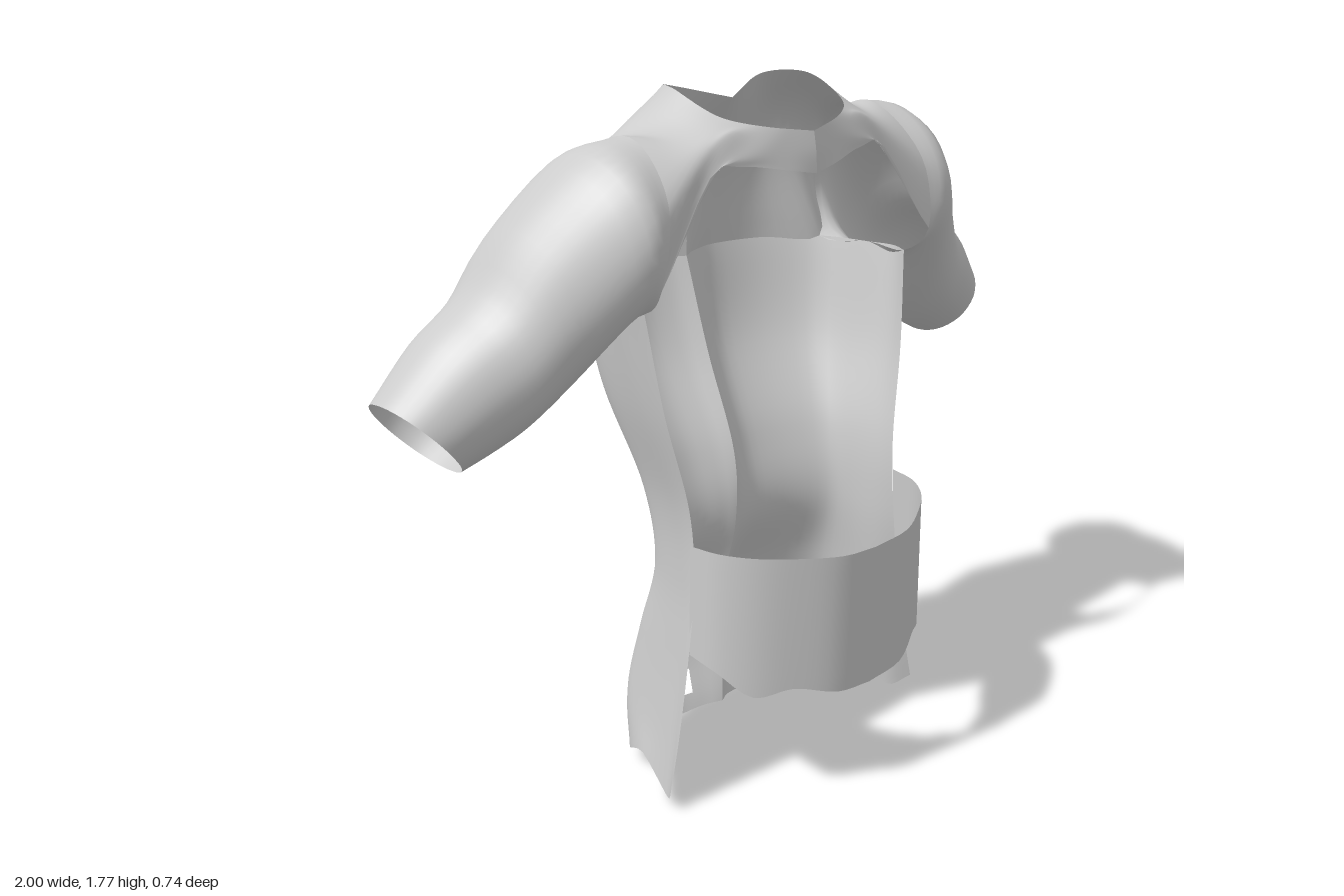
import * as THREE from 'three';

const material = new THREE.MeshStandardMaterial({ color: 0xcccccc, side: THREE.DoubleSide });

// Smooth a list of points, k samples per span
function smooth(points, k, closed = false) {
  const curve = new THREE.CatmullRomCurve3(points, closed, 'catmullrom', 0.5);
  const n = (closed ? points.length : points.length - 1) * k;
  return Array.from({ length: closed ? n : n + 1 }, (_, i) => curve.getPoint(i / n));
}

const vectors = points => points.map(p => new THREE.Vector3(...p));

// Smooth surface through rows of control points; side -1 mirrors it in x
function loft(rows, { side, ku = 4, kv = 4, closed = false, flip = false, hole = () => false }) {
  const across = rows.map(row => smooth(row, ku, closed));
  const nu = across[0].length;
  const columns = across[0].map((_, j) => smooth(across.map(r => r[j]), kv));
  const nv = columns[0].length;
  const pos = [], index = [];
  const reverse = flip !== (side < 0);
  for (let i = 0; i < nv; i++)
    for (let j = 0; j < nu; j++) {
      const p = columns[j][i];
      pos.push(p.x * side, p.y, p.z);
      if (i === nv - 1 || (!closed && j === nu - 1)) continue;
      const j2 = (j + 1) % nu;
      if (hole(p.clone().add(columns[j2][i + 1]).multiplyScalar(0.5))) continue;
      const a = i * nu + j, b = i * nu + j2, c = a + nu, d = b + nu;
      if (reverse) index.push(a, c, b, b, c, d);
      else index.push(a, b, c, b, d, c);
    }
  const g = new THREE.BufferGeometry();
  g.setAttribute('position', new THREE.Float32BufferAttribute(pos, 3));
  g.setIndex(index);
  g.computeVertexNormals();
  return g;
}

// One row of the back, from the spine groove round to the open front edge
function backRow(y, spine, back, w) {
  const frontZ = Math.min(0.1, 0.17 - 0.1 * y);
  return vectors([
    [0, y, spine], [0.12 * w, y, spine + (back - spine) * 0.6], [0.32 * w, y, back],
    [0.62 * w, y, back * 0.9], [0.88 * w, y, back * 0.64], [0.97 * w, y, back * 0.25],
    [w, y, frontZ - 0.06], [w + 0.05 * (0.8 - y), y, frontZ],
  ]);
}

// Ragged hem, then hips, waist and chest
const hemHeights = [0.03, 0.02, 0.005, 0.015, 0.05, 0.09, 0.015, 0.05];
const hem = backRow(0.02, -0.2, -0.255, 0.425);
hem.forEach((p, i) => { p.y = hemHeights[i]; });
const backRows = [
  hem,
  backRow(0.2, -0.2, -0.3, 0.4),
  backRow(0.4, -0.19, -0.245, 0.375),
  backRow(0.6, -0.14, -0.165, 0.36),
  backRow(0.8, -0.145, -0.21, 0.372),
  backRow(1.05, -0.24, -0.325, 0.435),
  backRow(1.3, -0.32, -0.375, 0.48),
];
const backTop = backRows[backRows.length - 1];

// Armhole, from the rear armpit over the shoulder to the front armpit
const armhole = [backTop[4], ...vectors([
  [0.455, 1.43, -0.29], [0.44, 1.58, -0.26], [0.42, 1.665, -0.15], [0.41, 1.69, -0.05],
  [0.42, 1.635, 0.05], [0.44, 1.53, 0.12], [0.465, 1.37, 0.115],
])];

// Shoulder yoke: bands from the back centre round to the front centre
const collar = vectors([[0, 1.73, -0.14], [0.16, 1.77, -0.2], [0.225, 1.775, -0.1],
  [0.21, 1.725, 0.03], [0.13, 1.7, 0.1], [0, 1.68, 0.14]]);
const yokeMiddle = vectors([[0, 1.54, -0.3], [0.25, 1.565, -0.31], [0.335, 1.69, -0.165],
  [0.305, 1.675, 0.045], [0.225, 1.645, 0.1], [0, 1.63, 0.148]]);
const yokeFront = vectors([[0.3, 1.6, 0.1], [0.2, 1.615, 0.11], [0.08, 1.595, 0.14], [0, 1.58, 0.15]]);
const yokeRows = [
  smooth(collar, 3), smooth(yokeMiddle, 3),
  [...backTop.slice(0, 4), ...armhole, ...yokeFront],
];

// Arm ring between a top and a bottom point, with front and back depth
function armRing(tx, ty, bx, by, front, back) {
  return Array.from({ length: 10 }, (_, i) => {
    const a = THREE.MathUtils.degToRad(225 + 36 * i);
    const c = Math.cos(a) / 2, s = Math.sin(a) / 2;
    return new THREE.Vector3((tx + bx) / 2 + c * (tx - bx), (ty + by) / 2 + c * (ty - by),
      (front + back) / 2 + s * (front - back));
  });
}
const armRows = [
  [...armhole, backTop[7], backTop[5]],
  armRing(0.53, 1.66, 0.5, 1.25, 0.14, -0.3),
  armRing(0.68, 1.5, 0.61, 1.11, 0.05, -0.35),
  armRing(0.77, 1.36, 0.7, 1.03, 0, -0.365),
  armRing(0.88, 1.27, 0.77, 0.985, -0.04, -0.37),
  armRing(1.0, 1.14, 0.84, 0.95, -0.09, -0.36),
];

// Belly band: quarter ellipse with a level top and a ragged lower edge
const bandHeights = [0.3, 0.315, 0.345, 0.33, 0.39, 0.42];
const bandRows = [0, 0.5, 1].map(t => bandHeights.map((low, i) => {
  const a = i * Math.PI / 10;
  const top = 0.68 + 0.03 * Math.sin(a);
  const bulge = 0.26 + 0.015 * t + (i === 1 ? 0.012 : 0);
  return new THREE.Vector3((0.383 - 0.01 * t) * Math.sin(a), low + (top - low) * t, 0.092 + bulge * Math.cos(a));
}));

export function createModel() {
  const model = new THREE.Group();
  model.name = 'torsoShell';
  for (const [side, label] of [[1, 'left'], [-1, 'right']]) {
    // Small square openings low on the back
    const [x0, x1] = side > 0 ? [0.125, 0.2] : [0.07, 0.13];
    const hole = p => p.y > 0.06 && p.y < 0.14 && p.x > x0 && p.x < x1;
    const parts = {
      Back: loft(backRows, { side, kv: 8, flip: true, hole }),
      Shoulder: loft(yokeRows, { side, kv: 6 }),
      Arm: loft(armRows, { side, closed: true, flip: true }),
      BellyBand: loft(bandRows, { side }),
    };
    for (const [name, geometry] of Object.entries(parts)) {
      const mesh = new THREE.Mesh(geometry, material);
      mesh.name = label + name;
      model.add(mesh);
    }
  }
  return model;
}
